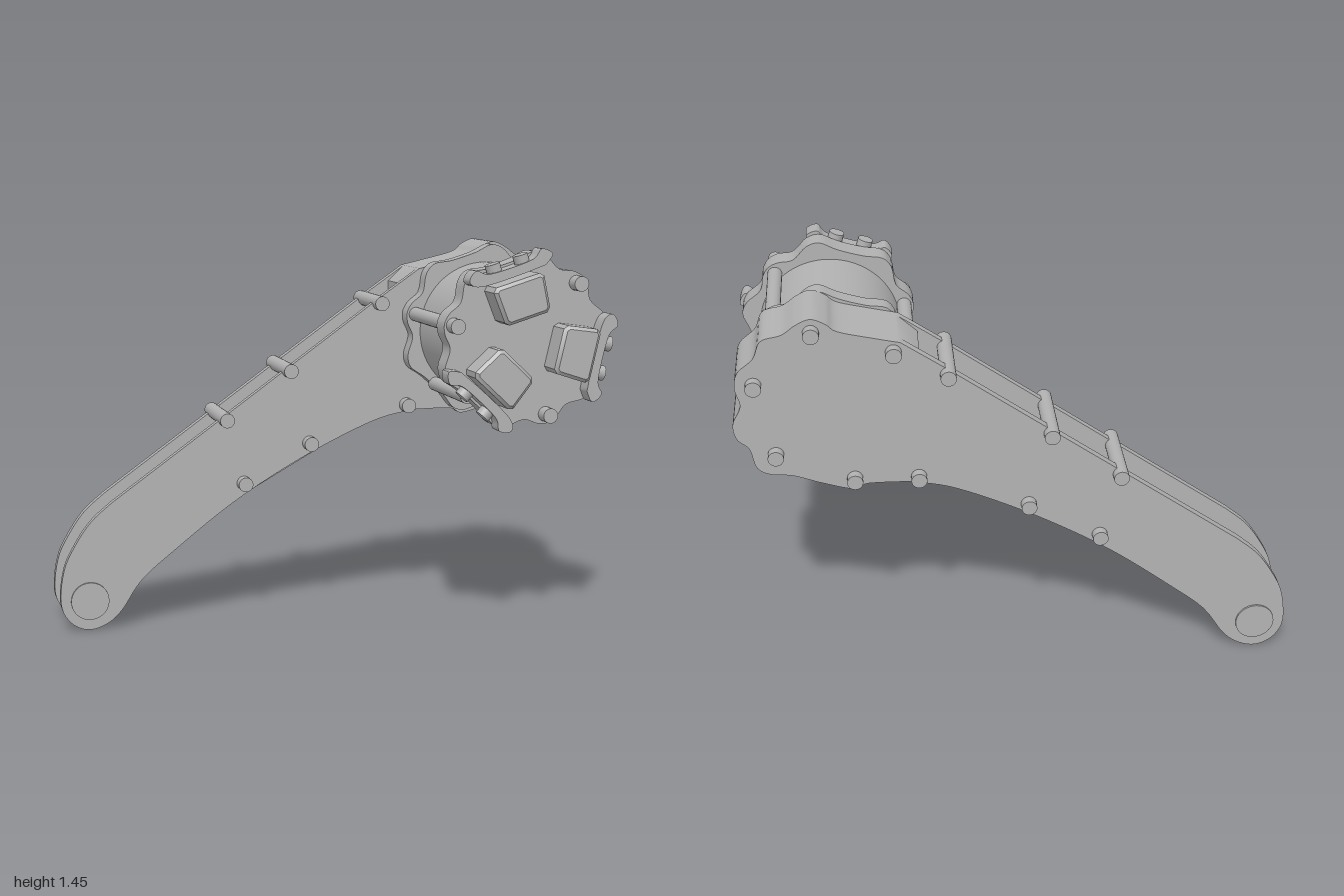
import * as THREE from 'three';
import { toCreasedNormals } from 'three/addons/utils/BufferGeometryUtils.js';

const metal = new THREE.MeshStandardMaterial({ color: 0xb2b2b2 });
metal.name = 'grey metal';

const MX = 0.655, MY = 1.115; // motor axis
const PADS = [107, -13, 227]; // angles of the three connector pads
const rad = THREE.MathUtils.degToRad;
const v2 = (p) => new THREE.Vector2(p[0], p[1]);

export function createModel() {
  const model = new THREE.Group();
  model.name = 'motorisedLeg';

  const add = (name, geo, parent = model) => {
    const mesh = new THREE.Mesh(geo, metal);
    mesh.name = name;
    parent.add(mesh);
    return mesh;
  };
  // Extrusion of an outline between two depths
  const slab = (name, points, z0, z1, parent = model, bevel = 0) => {
    const geo = new THREE.ExtrudeGeometry(new THREE.Shape(points), {
      depth: z1 - z0 - bevel, bevelEnabled: bevel > 0, bevelThickness: bevel,
      bevelSize: bevel, bevelOffset: -bevel, bevelSegments: 1, curveSegments: 12,
    });
    geo.translate(0, 0, z0);
    return add(name, toCreasedNormals(geo, 0.6), parent);
  };
  // Cylinder along z between two depths
  const rod = (name, x, y, r, z0, z1, parent = model, sides = 24) => {
    const geo = new THREE.CylinderGeometry(r, r, z1 - z0, sides).rotateX(Math.PI / 2);
    const mesh = add(name, geo, parent);
    mesh.position.set(x, y, (z0 + z1) / 2);
    return mesh;
  };
  const smooth = (pts, n) => new THREE.SplineCurve(pts.map(v2)).getPoints(n);

  // Scalloped gearbox edge, clockwise from the upper left to the lower left
  const scallop = smooth([
    [0.41, 1.35], [0.5, 1.37], [0.62, 1.4], [0.66, 1.43], [0.71, 1.45], [0.76, 1.43],
    [0.81, 1.395], [0.88, 1.375], [0.91, 1.31], [0.965, 1.26], [0.98, 1.2],
    [0.965, 1.13], [0.995, 1.06], [0.985, 1.0], [0.945, 0.96], [0.925, 0.885],
    [0.88, 0.855], [0.8, 0.845], [0.7, 0.81], [0.59, 0.78], [0.54, 0.8], [0.4, 0.8],
  ], 110);

  // Arm side plates: scalloped head, curved underside and rounded foot
  const underside = smooth([
    [0.4, 0.8], [0.25, 0.77], [0.05, 0.685], [-0.15, 0.58], [-0.35, 0.455],
    [-0.56, 0.295], [-0.69, 0.185], [-0.77, 0.07], [-0.83, 0.02], [-0.9, 0.003],
    [-0.965, 0.035], [-1.0, 0.11], [-0.985, 0.24], [-0.94, 0.335], [-0.88, 0.42], [-0.8, 0.49],
  ], 75).slice(1);
  const plate = [...scallop, ...underside, v2([0.25, 1.24])];
  slab('frontArmPlate', plate, -0.2, -0.17);
  slab('backArmPlate', plate, -0.405, -0.37);

  // Gearbox body between the plates, recessed along its lower edge
  const body = scallop.map((p) => (p.y < 0.98
    ? v2([MX + (p.x - MX) * 0.94, MY + (p.y - MY) * 0.94]) : p.clone()));
  slab('gearboxBody', [...body, v2([0.345, 0.85]), v2([0.345, 1.29])], -0.371, -0.199);

  // Bolts and spacers through the arm
  const armBolts = [[0.25, 1.22], [-0.11, 0.97], [-0.36, 0.79], [-0.29, 0.54], [-0.03, 0.685], [0.36, 0.82]];
  for (const [x, y] of armBolts) rod('armBolt', x, y, 0.028, -0.44, -0.13);

  // Bolts on the back of the gearbox
  const backBolts = [[0.915, 1.21], [0.71, 1.4], [0.435, 1.315], [0.855, 0.935], [0.585, 0.825]];
  for (const [x, y] of backBolts) rod('gearboxBolt', x, y, 0.028, -0.44, -0.38);

  // Rounded brace around the two lower bolts
  const tilt = Math.atan2(0.145, 0.26), half = Math.hypot(0.26, 0.145) / 2;
  const capsule = (h, r) => {
    const s = new THREE.Shape();
    s.absarc(h, 0, r, -Math.PI / 2, Math.PI / 2);
    s.absarc(-h, 0, r, Math.PI / 2, Math.PI * 1.5);
    return s.getPoints(12);
  };
  const brace = slab('armBrace', capsule(half, 0.045), -0.371, -0.199);
  brace.position.set(-0.16, 0.6125, 0);
  brace.rotation.z = tilt;

  // Foot joint: outer caps and inner bosses on both plates
  const FX = -0.89, FY = 0.115;
  rod('footCapFront', FX, FY, 0.072, -0.18, -0.162, model, 40);
  rod('footCapBack', FX, FY, 0.072, -0.412, -0.395, model, 40);
  rod('footBossFront', FX, FY, 0.085, -0.235, -0.199, model, 40);
  rod('footBossBack', FX, FY, 0.085, -0.371, -0.335, model, 40);

  // Motor, built around its own axis
  const motor = new THREE.Group();
  motor.name = 'motor';
  motor.position.set(MX, MY, 0);
  model.add(motor);

  // Three-fold lobed flange outline
  const lobes = [[-30, 0.322], [-22, 0.328], [-10, 0.3], [10, 0.3], [22, 0.328], [30, 0.322],
    [43, 0.29], [53, 0.312], [60, 0.32], [67, 0.312], [77, 0.29]];
  const ring = [];
  for (const a of [-13, 107, 227]) {
    for (const [d, r] of lobes) ring.push(new THREE.Vector3(r * Math.cos(rad(a + d)), r * Math.sin(rad(a + d)), 0));
  }
  const flange = new THREE.CatmullRomCurve3(ring, true).getPoints(132).slice(0, -1).map((p) => v2([p.x, p.y]));
  slab('innerFlange', flange, -0.171, -0.11, motor);
  slab('outerFlange', flange, 0.25, 0.335, motor);
  rod('motorCan', 0, 0, 0.26, -0.12, 0.26, motor, 64);

  // Tie rods between the flanges
  for (const a of [47, -13, 167, 227]) {
    rod('tieRod', 0.285 * Math.cos(rad(a)), 0.285 * Math.sin(rad(a)), 0.027, -0.12, 0.26, motor);
  }
  // Bolts on the outer flange
  for (const a of [47, 167, 287]) {
    rod('flangeBolt', 0.285 * Math.cos(rad(a)), 0.285 * Math.sin(rad(a)), 0.028, 0.33, 0.39, motor);
  }

  // Connector pads with raised blocks and radial plugs, local +x pointing outward
  for (const a of PADS) {
    const unit = new THREE.Group();
    unit.name = 'connector';
    unit.rotation.z = rad(a);
    motor.add(unit);
    const pad = smooth([[0.255, -0.13], [0.285, -0.165], [0.315, -0.13], [0.29, -0.09], [0.285, 0],
      [0.29, 0.09], [0.315, 0.13], [0.285, 0.165], [0.255, 0.13], [0.25, 0], [0.255, -0.13]], 60).slice(0, -1);
    slab('connectorPad', pad, 0.33, 0.4, unit);
    const block = [[0.095, -0.075], [0.11, -0.09], [0.225, -0.1], [0.24, -0.085],
      [0.24, 0.085], [0.225, 0.1], [0.11, 0.09], [0.095, 0.075]].map(v2);
    slab('connectorBlock', block, 0.33, 0.445, unit, 0.012);
    for (const y of [-0.055, 0.055]) {
      const plug = add('connectorPlug', new THREE.CylinderGeometry(0.028, 0.028, 0.045, 20).rotateZ(Math.PI / 2), unit);
      plug.position.set(0.293, y, 0.365);
    }
  }
  return model;
}
